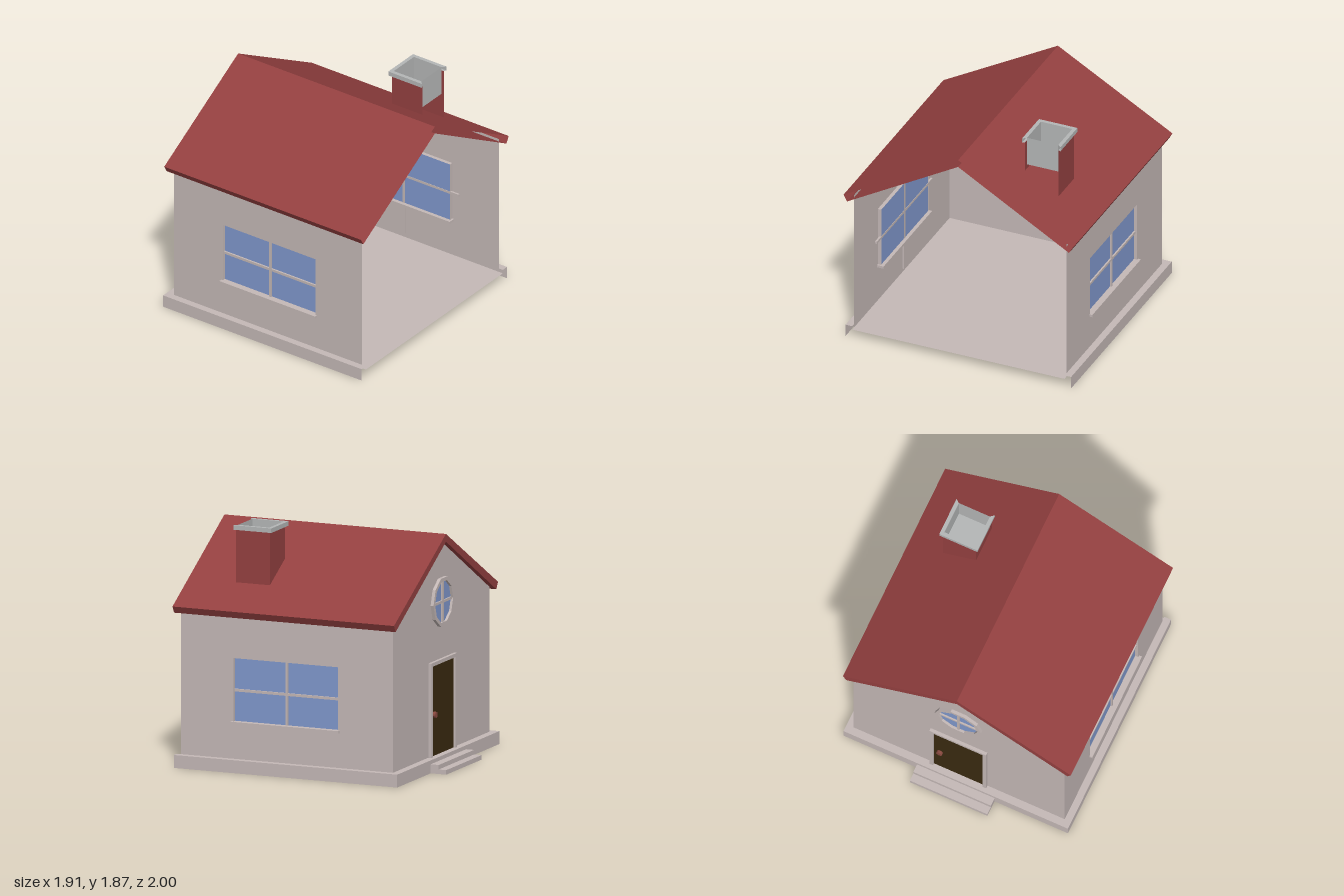
import * as THREE from 'three';

const paint = (color) => new THREE.MeshStandardMaterial({ color, side: THREE.DoubleSide, flatShading: true });
const plaster = paint(0xc4b8b6);
const tile = paint(0x944040);
const stone = paint(0xb4b6b6);
const glass = paint(0x8098cc);
const wood = paint(0x3a2a10);
const brass = paint(0x8a4a40);

function mesh(name, geometry, material) {
  const m = new THREE.Mesh(geometry, material);
  m.name = name;
  return m;
}

// Box given by its low and high corners
function block(name, [x0, y0, z0], [x1, y1, z1], material) {
  const m = mesh(name, new THREE.BoxGeometry(x1 - x0, y1 - y0, z1 - z0), material);
  m.position.set((x0 + x1) / 2, (y0 + y1) / 2, (z0 + z1) / 2);
  return m;
}

// Thin surface made of four-cornered panels, corners counter-clockwise from outside
function panels(name, quads, material) {
  const pos = quads.flatMap(([a, b, c, d]) => [a, b, c, a, c, d].flat());
  const g = new THREE.BufferGeometry();
  g.setAttribute('position', new THREE.Float32BufferAttribute(pos, 3));
  g.computeVertexNormals();
  return mesh(name, g, material);
}

// Panel swept from profile segment a-b (x, y) along z
const sweep = (a, b, z0, z1) => [[...a, z1], [...b, z1], [...b, z0], [...a, z0]];

function rect(x0, y0, x1, y1, Type = THREE.Shape) {
  const s = new Type();
  s.moveTo(x0, y0); s.lineTo(x1, y0); s.lineTo(x1, y1); s.lineTo(x0, y1);
  s.closePath();
  return s;
}

const W = 0.885, BACK = -0.81, FRONT = 0.96, FLOOR = 0.07, EAVE = 1.245;
const WIN = { z0: -0.35, z1: 0.52, y0: 0.39, y1: 0.88 };

// Side wall with its recessed window
function sideWall(s) {
  const g = new THREE.Group();
  g.name = s > 0 ? 'leftSide' : 'rightSide';
  const { z0, z1, y0, y1 } = WIN;
  const shape = rect(BACK, FLOOR, FRONT, EAVE);
  shape.holes.push(rect(z0, y0, z1, y1, THREE.Path));
  const wall = mesh('sideWall', new THREE.ShapeGeometry(shape).rotateY(-Math.PI / 2), plaster);
  wall.position.x = s * W;
  g.add(wall);

  const corners = [[y0, z0], [y0, z1], [y1, z1], [y1, z0]];
  const inner = s * 0.856, outer = s * W;
  g.add(panels('windowReveal', corners.map((p, i) => {
    const q = corners[(i + 1) % 4];
    return [[inner, ...p], [inner, ...q], [outer, ...q], [outer, ...p]];
  }), plaster));
  g.add(panels('windowGlass', [corners.map((p) => [s * 0.859, ...p])], glass));

  const bar = (name, xa, xb, ya, yb, za, zb) => g.add(block(name,
    [Math.min(s * xa, s * xb), ya, za], [Math.max(s * xa, s * xb), yb, zb], plaster));
  bar('windowMullion', 0.856, 0.872, 0.12, 1.15, 0.075, 0.095);
  bar('windowTransom', 0.856, 0.872, 0.62, 0.64, -0.43, 0.6);
  bar('windowSill', 0.83, 0.91, 0.37, 0.39, -0.365, 0.535);
  return g;
}

// Back door with its frame and knob
function door() {
  const g = new THREE.Group();
  g.name = 'door';
  const frame = rect(-0.237, 0.1, 0.237, 0.83);
  frame.holes.push(rect(-0.208, 0.1, 0.208, 0.802, THREE.Path));
  const f = mesh('doorFrame', new THREE.ExtrudeGeometry(frame, { depth: 0.025, bevelEnabled: false }), plaster);
  f.position.z = -0.835;
  const knob = mesh('doorKnob', new THREE.CylinderGeometry(0.024, 0.024, 0.026, 10).rotateX(Math.PI / 2), brass);
  knob.position.set(0.155, 0.42, -0.828);
  g.add(f, block('doorPanel', [-0.208, 0.1, -0.817], [0.208, 0.802, -0.811], wood), knob);
  return g;
}

// Ten-sided gable window
function roundWindow() {
  const g = new THREE.Group();
  g.name = 'roundWindow';
  const ring = (r) => Array.from({ length: 10 }, (_, i) =>
    new THREE.Vector2(r * Math.cos(i * Math.PI / 5), r * Math.sin(i * Math.PI / 5)));
  const shape = new THREE.Shape(ring(0.195));
  shape.holes.push(new THREE.Path(ring(0.165)));
  const frame = mesh('roundFrame', new THREE.ExtrudeGeometry(shape, { depth: 0.025, bevelEnabled: false }), plaster);
  frame.position.z = -0.025;
  const pane = mesh('roundGlass', new THREE.ShapeGeometry(new THREE.Shape(ring(0.167))).rotateY(Math.PI), glass);
  pane.position.z = -0.005;
  g.add(frame, pane,
    block('roundMullion', [-0.01, -0.16, -0.017], [0.01, 0.16, -0.003], plaster),
    block('roundTransom', [-0.165, -0.01, -0.017], [0.165, 0.01, -0.003], plaster));
  g.position.set(0, 1.27, BACK);
  return g;
}

// Hollow chimney, open at the front, with a flue box and cap
function chimney() {
  const g = new THREE.Group();
  g.name = 'chimney';
  const x0 = 0.38, x1 = 0.66, z0 = 0.32, z1 = 0.605;
  g.add(panels('chimneyWalls', [
    sweep([x0, 1.83], [x0, 1.35], z0, z1),
    sweep([x1, 1.35], [x1, 1.83], z0, z1),
    [[x1, 1.35, z0], [x0, 1.35, z0], [x0, 1.83, z0], [x1, 1.83, z0]],
  ], tile));

  const loop = (a, b, c, d, y) => [[a, y, d], [a, y, c], [b, y, c], [b, y, d]];
  const flueTop = loop(0.39, 0.65, 0.33, 0.59, 1.865);
  const flueLow = loop(0.39, 0.65, 0.33, 0.59, 1.63);
  const flue = flueTop.map((p, i) => [p, flueTop[(i + 1) % 4], flueLow[(i + 1) % 4], flueLow[i]]);
  g.add(panels('flue', [...flue, [...flueLow].reverse()], stone));

  const capTop = loop(0.36, 0.68, 0.3, 0.615, 1.865);
  const capLow = loop(0.36, 0.68, 0.3, 0.615, 1.83);
  const under = loop(x0, x1, z0, z1, 1.83);
  const cap = [0, 1, 2].flatMap((i) => [
    [capTop[i], flueTop[i], flueTop[i + 1], capTop[i + 1]],
    [capLow[i], capTop[i], capTop[i + 1], capLow[i + 1]],
    [under[i], capLow[i], capLow[i + 1], under[i + 1]],
  ]);
  g.add(panels('chimneyCap', cap, stone));
  return g;
}

// Pitched roof slab, hollow towards the front
function roof() {
  const z0 = -0.85, z1 = 1;
  const quads = [-1, 1].flatMap((s) => {
    const top = [0, 1.795], eave = [s * 0.955, 1.253], lip = [s * 0.925, 1.2], low = [0, 1.735];
    return [
      sweep(eave, top, z0, z1), sweep(lip, eave, z0, z1), sweep(low, lip, z0, z1),
      [top, eave, lip, low].map((p) => [...p, z0]),
    ].map((q, i) => ((s > 0) === (i < 3) ? q : q.reverse()));
  });
  return panels('roof', quads, tile);
}

// Floor, raised plinth around it and the two back steps
function base() {
  const g = new THREE.Group();
  g.name = 'base';
  const X = 0.94, Z = -0.87, F = 0.995;
  const flat = (x0, x1, z0, z1, y) => [[x0, y, z1], [x1, y, z1], [x1, y, z0], [x0, y, z0]];
  g.add(panels('floor', [flat(-W, W, BACK, F, FLOOR)], plaster));
  g.add(panels('plinth', [
    flat(-X, -W, Z, F, 0.1), flat(W, X, Z, F, 0.1), flat(-W, W, Z, BACK, 0.1),
    sweep([-X, 0.1], [-X, 0], Z, F), sweep([X, 0], [X, 0.1], Z, F),
    [[X, 0, Z], [-X, 0, Z], [-X, 0.1, Z], [X, 0.1, Z]],
  ], plaster));
  g.add(block('upperStep', [-0.325, 0, -0.937], [0.325, 0.07, Z], plaster));
  g.add(block('lowerStep', [-0.325, 0, -1], [0.325, 0.035, -0.937], plaster));
  return g;
}

export function createModel() {
  const house = new THREE.Group();
  house.name = 'house';
  const gable = new THREE.Shape([[-W, FLOOR], [W, FLOOR], [W, EAVE], [0, 1.765], [-W, EAVE]]
    .map((p) => new THREE.Vector2(...p)));
  const backWall = mesh('backWall', new THREE.ShapeGeometry(gable).rotateY(Math.PI), plaster);
  backWall.position.z = BACK;
  house.add(base(), backWall, sideWall(1), sideWall(-1), door(), roundWindow(), roof(), chimney());
  return house;
}
